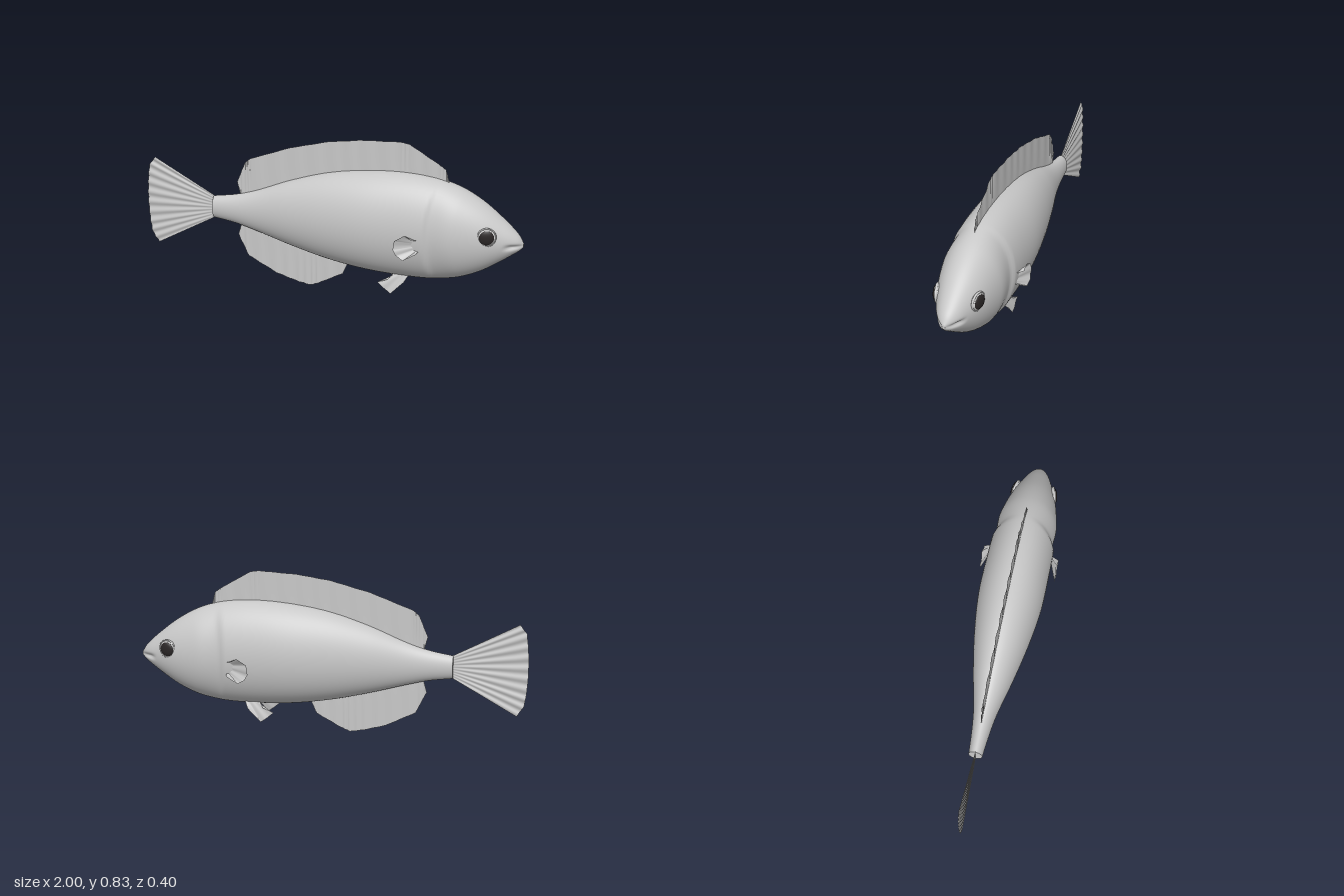
import * as THREE from 'three';

const skin = new THREE.MeshStandardMaterial({ name: 'skin', color: 0xc8c8c8 });
const finSkin = new THREE.MeshStandardMaterial({ name: 'finSkin', color: 0xc8c8c8, side: THREE.DoubleSide });
const eyePale = new THREE.MeshStandardMaterial({ name: 'eyePale', color: 0xd8d8d8 });
const pupilDark = new THREE.MeshStandardMaterial({ name: 'pupilDark', color: 0x2a2626 });

// Body stations: x, top y, bottom y, half width
const stations = [
  [-0.625, 0.44, 0.322, 0.035], [-0.5, 0.462, 0.303, 0.046], [-0.4, 0.492, 0.277, 0.06],
  [-0.2, 0.572, 0.22, 0.105], [0, 0.634, 0.172, 0.143], [0.2, 0.667, 0.142, 0.167],
  [0.4, 0.677, 0.131, 0.168], [0.55, 0.664, 0.134, 0.164], [0.62, 0.647, 0.143, 0.16],
  [0.7, 0.617, 0.163, 0.147], [0.8, 0.56, 0.207, 0.12], [0.9, 0.482, 0.272, 0.08],
  [0.95, 0.437, 0.308, 0.055], [0.98, 0.405, 0.33, 0.033], [1, 0.372, 0.35, 0.01],
];
const profile = new THREE.CubicInterpolant(
  new Float32Array(stations.map(s => s[0])), new Float32Array(stations.flatMap(s => s.slice(1))), 3);
const bodyAt = x => Array.from(profile.evaluate(x));
const smooth = THREE.MathUtils.smoothstep;

function buildGeometry(positions, index) {
  const g = new THREE.BufferGeometry();
  g.setAttribute('position', new THREE.Float32BufferAttribute(positions, 3));
  g.setIndex(index);
  g.computeVertexNormals();
  return g;
}

// Elliptical loft with a gill step and a mouth crease
function bodyGeometry() {
  const rings = 120, sides = 64, pos = [], idx = [];
  for (let i = 0; i <= rings; i++) {
    const x = -0.625 + 1.625 * (1 - (1 - i / rings) ** 1.5);
    const [top, bottom, width] = bodyAt(x);
    for (let j = 0; j < sides; j++) {
      const a = j / sides * Math.PI * 2;
      const y = (top + bottom) / 2 + (top - bottom) / 2 * Math.cos(a);
      const d = x - 0.53 - 0.04 * Math.cos(a) ** 2;
      const gill = smooth(d, -0.012, 0.018) * (1 - smooth(d, 0.02, 0.14));
      const mouth = Math.exp(-(((y - 0.362) / 0.011) ** 2)) * smooth(x, 0.9, 0.95);
      pos.push(x, y, width * Math.sin(a) * (1 - 0.08 * gill) * (1 - 0.3 * mouth));
    }
  }
  for (let i = 0; i < rings; i++) for (let j = 0; j < sides; j++) {
    const a = i * sides + j, c = i * sides + (j + 1) % sides, b = a + sides, d = c + sides;
    idx.push(a, c, b, c, d, b);
  }
  const nose = pos.length / 3, last = rings * sides;
  pos.push(1.0, 0.361, 0);
  for (let j = 0; j < sides; j++) idx.push(last + j, last + (j + 1) % sides, nose);
  // Flat end at the tail, with its own vertices to keep the rim sharp
  const rim = pos.length / 3;
  pos.push(...pos.slice(0, sides * 3));
  const hub = pos.length / 3;
  pos.push(-0.625, 0.381, 0);
  for (let j = 0; j < sides; j++) idx.push(rim + (j + 1) % sides, rim + j, hub);
  return buildGeometry(pos, idx);
}

// Thin fin: sheet from a root line to an outline, gently rippled by its rays
function fin(name, outline, rootAt, rays, ripple, depthAt = () => 0) {
  const steps = 16, rows = 6, pos = [], idx = [];
  const n = (outline.length - 1) * steps;
  for (let i = 0; i <= n; i++) {
    const k = Math.min(Math.floor(i / steps), outline.length - 2), f = i / steps - k, u = i / n;
    const [p, q] = [outline[k], outline[k + 1]];
    const x = p[0] + (q[0] - p[0]) * f, y = p[1] + (q[1] - p[1]) * f;
    const [rx, ry] = rootAt(x, u);
    for (let r = 0; r <= rows; r++) {
      const v = r / rows;
      const z = depthAt(v) + ripple * Math.sin(u * rays * Math.PI * 2) * Math.sqrt(v);
      pos.push(rx + (x - rx) * v, ry + (y - ry) * v, z);
    }
  }
  for (let i = 0; i < n; i++) for (let r = 0; r < rows; r++) {
    const a = i * (rows + 1) + r, b = a + rows + 1;
    idx.push(a, a + 1, b, a + 1, b + 1, b);
  }
  const mesh = new THREE.Mesh(buildGeometry(pos, idx), finSkin);
  mesh.name = name;
  return mesh;
}

// Eye: flattened ball, lid rim and dark pupil, facing local +z
function eye(name) {
  const group = new THREE.Group();
  group.name = name;
  const add = (part, geometry, material, z, depth) => {
    const m = new THREE.Mesh(geometry, material);
    m.name = part;
    m.position.z = z;
    m.scale.z = depth;
    group.add(m);
  };
  add('eyeball', new THREE.SphereGeometry(0.046, 32, 20), eyePale, 0, 0.4);
  add('eyeRim', new THREE.TorusGeometry(0.045, 0.004, 10, 40), skin, 0.002, 1.6);
  add('pupil', new THREE.SphereGeometry(0.037, 32, 20), pupilDark, 0.01, 0.32);
  return group;
}

export function createModel() {
  const fish = new THREE.Group();
  fish.name = 'fish';
  const body = new THREE.Mesh(bodyGeometry(), skin);
  body.name = 'body';
  fish.add(body);

  // Fins on the centre line
  const clamp = THREE.MathUtils.clamp;
  fish.add(fin('dorsalFin', [[-0.475, 0.465], [-0.495, 0.53], [-0.45, 0.64], [-0.42, 0.665], [-0.205, 0.745],
    [0, 0.798], [0.17, 0.822], [0.37, 0.832], [0.415, 0.825], [0.57, 0.733], [0.602, 0.71], [0.62, 0.645]],
  x => { const c = clamp(x, -0.475, 0.62); return [c, bodyAt(c)[0] - 0.015]; }, 22, 0.002));
  fish.add(fin('analFin', [[-0.475, 0.3], [-0.495, 0.24], [-0.44, 0.125], [-0.285, 0.045], [-0.17, 0.012],
    [-0.1, 0.0], [-0.055, 0.018], [0.075, 0.088], [0.105, 0.155]],
  x => { const c = clamp(x, -0.475, 0.1); return [c, bodyAt(c)[1] + 0.015]; }, 14, 0.002));
  fish.add(fin('tailFin', [[-0.95, 0.62], [-0.985, 0.575], [-0.995, 0.5], [-1, 0.42], [-1, 0.34],
    [-0.995, 0.26], [-0.985, 0.195], [-0.95, 0.14]],
  (x, u) => [-0.615, 0.438 - 0.112 * u], 10, 0.003));

  // Paired fins and eyes
  for (const s of [1, -1]) {
    const side = s > 0 ? 'left' : 'right';
    fish.add(fin(side + 'PectoralFin', [[0.485, 0.4], [0.445, 0.42], [0.395, 0.388], [0.388, 0.34],
      [0.405, 0.31], [0.44, 0.288], [0.5, 0.325]],
    (x, u) => [0.51, 0.385 - 0.055 * u], 4, 0.002, v => s * (0.15 + 0.048 * v)));
    fish.add(fin(side + 'PelvicFin', [[0.34, 0.128], [0.283, 0.105], [0.318, 0.075], [0.352, 0.05], [0.42, 0.12]],
      (x, u) => [0.36 + 0.08 * u, 0.155], 3, 0.0015, v => s * (0.062 + 0.025 * v)));
    const e = eye(side + 'Eye');
    e.position.set(0.832, 0.422, s * 0.1);
    e.rotation.y = s > 0 ? 0.25 : Math.PI - 0.25;
    fish.add(e);
  }
  return fish;
}
